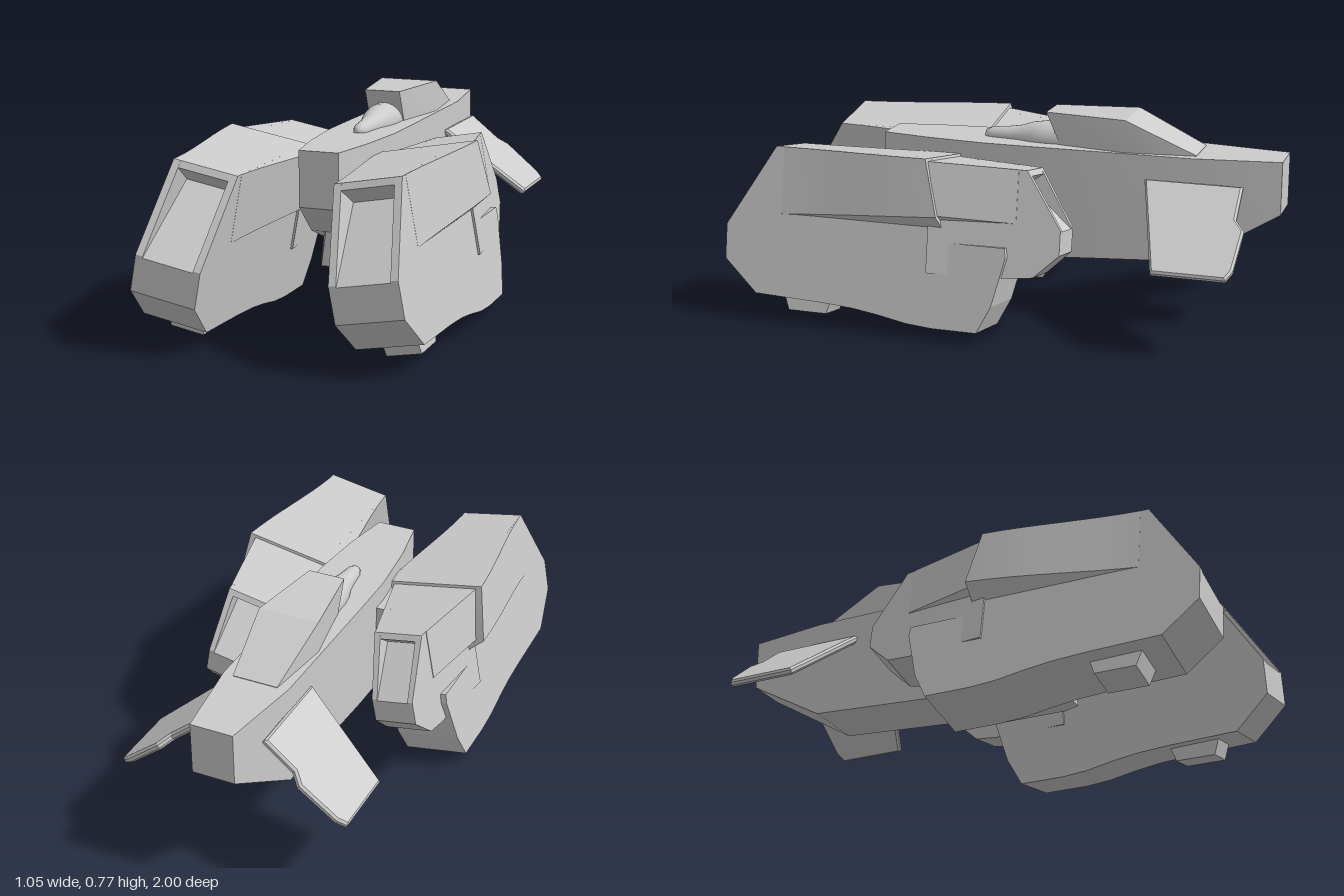
import * as THREE from 'three';
import { toCreasedNormals } from 'three/addons/utils/BufferGeometryUtils.js';

const grey = new THREE.MeshStandardMaterial({ color: 0xcccccc });
const TILT = 0.182;

function add(parent, name, geometry) {
  const mesh = new THREE.Mesh(geometry, grey);
  mesh.name = name;
  parent.add(mesh);
  return mesh;
}

// Solid through rings of [x, y, z], each counter-clockwise seen from +z, ordered by rising z
function loft(rings) {
  const n = rings[0].length, last = (rings.length - 1) * n, index = [];
  for (let i = 0; i < rings.length - 1; i++) {
    for (let j = 0; j < n; j++) {
      const a = i * n + j, b = i * n + (j + 1) % n;
      index.push(a, b, b + n, a, b + n, a + n);
    }
  }
  for (let j = 1; j < n - 1; j++) index.push(0, j + 1, j, last, last + j, last + j + 1);
  const g = new THREE.BufferGeometry();
  g.setAttribute('position', new THREE.Float32BufferAttribute(rings.flat(2), 3));
  g.setIndex(index);
  return toCreasedNormals(g, 0.35);
}

const rect = (z, w, bottom, top, wTop = w, zBottom = z) => [
  [-w, bottom, zBottom], [w, bottom, zBottom], [wTop, top, z], [-wTop, top, z]];

// Side profile of [z, y] points, extruded across x from x0 to x1
function slab(profile, x0, x1) {
  const shape = new THREE.Shape(profile.map(([z, y]) => new THREE.Vector2(z, y)));
  const g = new THREE.ExtrudeGeometry(shape, { depth: x1 - x0, bevelEnabled: false });
  return g.translate(0, 0, -x1).rotateY(-Math.PI / 2);
}

// Casing with a recessed opening: notched core between two full cheeks, narrowed along z
function casing(parent, name, profile, notch, half, inner, widthAt = () => 1) {
  const core = [profile[0], ...notch, ...profile.slice(2)];
  const parts = [['Core', core, -inner, inner], ['CheekA', profile, inner, half], ['CheekB', profile, -half, -inner]];
  for (const [suffix, outline, x0, x1] of parts) {
    const g = slab(outline, x0, x1), p = g.attributes.position;
    for (let i = 0; i < p.count; i++) p.setX(i, p.getX(i) * widthAt(p.getZ(i)));
    g.computeVertexNormals();
    add(parent, name + suffix, g);
  }
}

// Overhanging side panel that swells outwards along z
function flare(parent, name, side, stations) {
  add(parent, name, loft(stations.map(({ z, zLow, root, w, low, edge, top }) => {
    const ring = [[root, low, zLow], [w, edge, zLow], [w, top, z], [root, top, z]];
    return side > 0 ? ring : ring.map(([x, y, q]) => [-x, y, q]).reverse();
  })));
}

function buildPod(side) {
  const pod = new THREE.Group();
  pod.name = side > 0 ? 'leftPod' : 'rightPod';

  // Main shell with front intake
  const shell = [[1, 0.18], [1, 0.31], [0.81, 0.612], [0.2, 0.615], [0.15, 0.41], [0.135, 0.315],
    [-0.09, 0.315], [-0.095, 0.28], [-0.05, 0.1], [0, 0], [0.17, 0], [0.27, 0.008], [0.38, 0.028],
    [0.48, 0.042], [0.6, 0.05], [0.87, 0.06]];
  casing(pod, 'shell', shell, [[1, 0.304], [0.739, 0.531], [0.823, 0.589]], 0.122, 0.095);

  // Rear engine with exhaust opening
  const engine = [[-0.28, 0.3], [-0.28, 0.39], [-0.15, 0.595], [0.2, 0.605], [0.2, 0.2], [-0.1, 0.205], [-0.19, 0.215]];
  const engineHalf = z => 0.08 + 0.105 * (z + 0.28);
  casing(pod, 'engine', engine, [[-0.28, 0.385], [-0.1, 0.53], [-0.162, 0.575]], 0.08, 0.06, z => engineHalf(z) / 0.08);

  for (const s of [1, -1]) {
    const shellStations = [], engineStations = [];
    // Engine flares
    for (let i = 0; i <= 4; i++) {
      const t = i / 4, z = -0.12 + 0.32 * t, half = engineHalf(z);
      engineStations.push({ z, zLow: z, root: half - 0.01, w: half + 0.002 + 0.035 * t,
        low: 0.4 - 0.01 * t, edge: 0.403 + 0.01 * t, top: 0.596 + 0.009 * t });
    }
    // Shell flares, widest at their raked rear end
    for (let i = 0; i <= 8; i++) {
      const t = 1 - i / 8, z = 0.78 - 0.58 * t;
      const swell = 0.5 * t + 0.5 * t * t * (3 - 2 * t);
      shellStations.push({ z, zLow: z - 0.05 * t ** 3, root: 0.115, w: 0.1225 + 0.068 * swell,
        low: 0.362, edge: 0.364 + 0.046 * t, top: 0.612 + 0.003 * t });
    }
    flare(pod, 'engineFlare', s, engineStations);
    flare(pod, 'shellFlare', s, shellStations);
  }

  // Belly block
  add(pod, 'bellyBlock', slab([[0.785, 0.07], [0.76, 0], [0.61, 0], [0.585, 0.07]], -0.064, 0.064));

  pod.position.set(side * 0.405, 0.022, 0);
  pod.rotation.z = side * TILT;
  return pod;
}

export function createModel() {
  const model = new THREE.Group();
  model.name = 'aircraft';

  // Fuselage: half width and underside height along z
  const hull = [[-1, 0.08, 0.45], [-0.68, 0.125, 0.26], [-0.1, 0.13, 0.225], [0.1, 0.13, 0.22],
    [0.33, 0.108, 0.31], [0.52, 0.075, 0.44]];
  add(model, 'fuselage', loft(hull.map(([z, w, bottom]) => rect(z, w, bottom, 0.645))));

  // Raised cabin
  add(model, 'cabin', loft([
    rect(-0.69, 0.085, 0.63, 0.647),
    rect(-0.43, 0.115, 0.63, 0.765),
    rect(-0.12, 0.07, 0.63, 0.765, 0.07, -0.18),
  ]));

  // Rounded gun turret lying on the deck
  const turret = [[0.066, -0.2], [0.066, -0.1], [0.058, -0.05], [0.042, 0], [0.034, 0.05], [0.028, 0.11], [0.018, 0.135], [0, 0.14]];
  const turretShape = new THREE.LatheGeometry(turret.map(([r, z]) => new THREE.Vector2(r, z)), 24);
  add(model, 'turret', turretShape.rotateX(Math.PI / 2)).position.y = 0.65;

  // Block under the nose
  add(model, 'chinBlock', loft([
    rect(0, 0.095, 0.18, 0.375, 0.075),
    rect(0.27, 0.095, 0.18, 0.375, 0.075),
    rect(0.33, 0.07, 0.18, 0.36, 0.045),
  ]));

  const finOutline = [[0, -0.51], [0.4, -0.61], [0.4, -0.875], [0.36, -0.895], [0.19, -0.905], [0.145, -0.87], [0, -0.87]];
  for (const side of [1, -1]) {
    model.add(buildPod(side));

    // Drooping tail fin
    const shape = new THREE.Shape(finOutline.map(([s, z]) => new THREE.Vector2(side * s, z)));
    const fin = new THREE.ExtrudeGeometry(shape, {
      depth: 0.012, bevelEnabled: true, bevelThickness: 0.008, bevelSize: 0.008, bevelOffset: -0.008, bevelSegments: 1 });
    fin.translate(0, 0, -0.006).rotateX(Math.PI / 2).rotateZ(-side * 0.68);
    add(model, side > 0 ? 'leftFin' : 'rightFin', fin).position.set(side * 0.12, 0.55, 0);

    // Pylon joining pod and fuselage
    const pylon = new THREE.BoxGeometry(0.17, 0.12, 0.29);
    add(model, side > 0 ? 'leftPylon' : 'rightPylon', pylon).position.set(side * 0.175, 0.51, 0.18);
  }
  return model;
}
